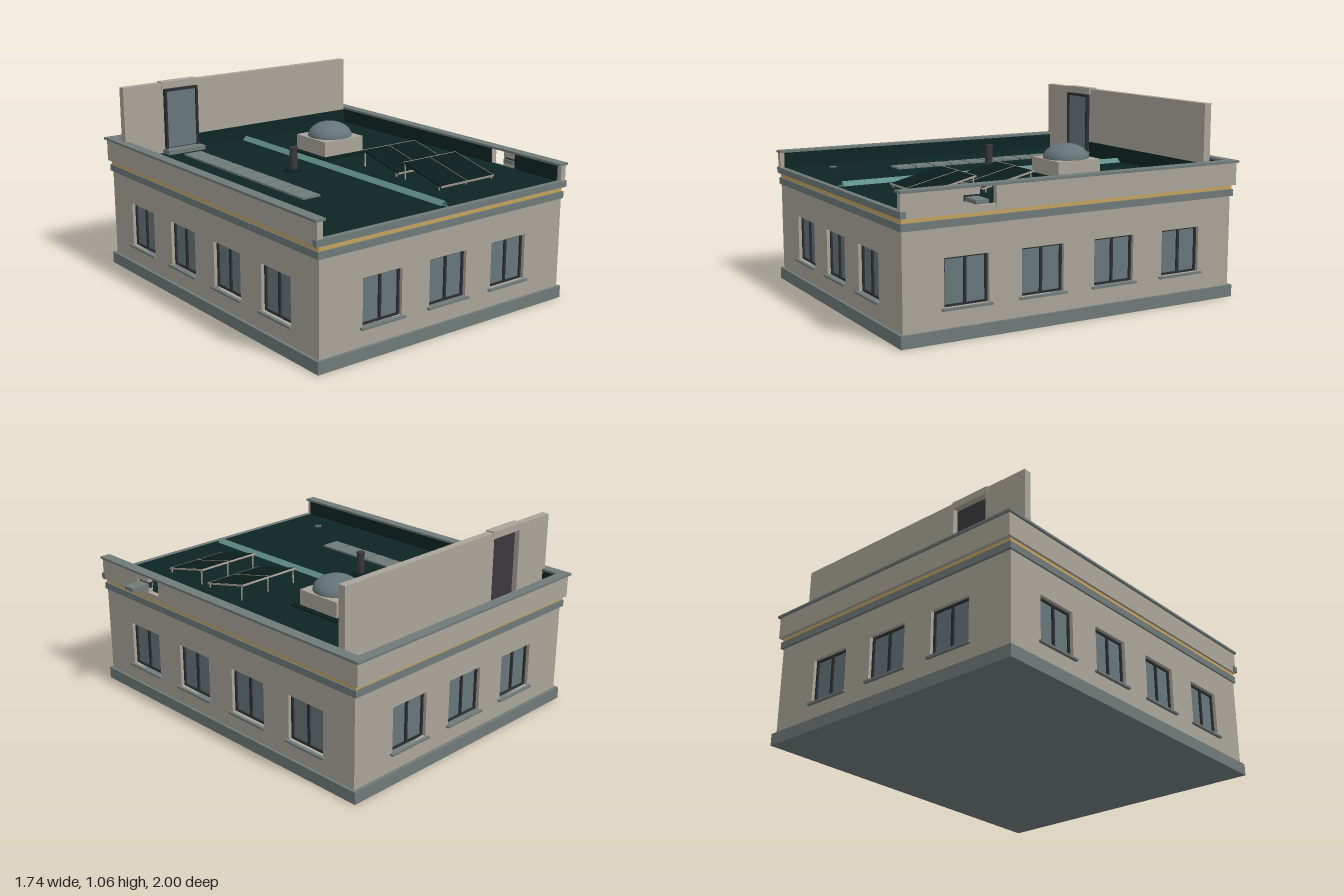
import * as THREE from 'three';

const mat = (name, color, side = THREE.FrontSide) => {
  const m = new THREE.MeshStandardMaterial({ color, side });
  m.name = name;
  return m;
};

export function createModel() {
  const root = new THREE.Group();
  root.name = 'flatRoofBuilding';

  const wall = mat('warm grey render', 0xaaa599);
  const stone = mat('blue grey stone', 0x6f7a79);
  const glass = mat('window glass', 0x66757a);
  const frame = mat('dark frame', 0x2b2e32);
  const roof = mat('dark green roofing', 0x0d2524);
  const panel = mat('panel black green', 0x0a1d1c, THREE.DoubleSide);
  const ridge = mat('pale teal metal', 0x629088, THREE.DoubleSide);
  const brass = mat('ochre band', 0xc2a25f);
  const pipe = mat('vent grey', 0x3a383d);
  const trim = mat('pale trim', 0xa89c92);

  const add = (name, geo, material, parent = root) => {
    const m = new THREE.Mesh(geo, material);
    m.name = name;
    parent.add(m);
    return m;
  };
  // Box given by its extents on each axis
  const box = (name, material, x0, x1, y0, y1, z0, z1, parent) => {
    const m = add(name, new THREE.BoxGeometry(x1 - x0, y1 - y0, z1 - z0), material, parent);
    m.position.set((x0 + x1) / 2, (y0 + y1) / 2, (z0 + z1) / 2);
    return m;
  };
  const rect = (C, x0, x1, y0, y1) => {
    const s = new C();
    s.moveTo(x0, y0).lineTo(x1, y0).lineTo(x1, y1).lineTo(x0, y1).closePath();
    return s;
  };

  const CX = -0.043;

  // Plinth and the horizontal bands round the building
  box('plinth', stone, -0.86, 0.77, 0, 0.065, -0.98, 1.0);
  box('cornice', stone, -0.852, 0.765, 0.555, 0.592, -0.975, 0.993);
  box('ochreBand', brass, -0.845, 0.757, 0.592, 0.614, -0.968, 0.986);
  box('roofSlab', wall, -0.857, 0.769, 0.614, 0.645, -0.985, 0.985);
  box('roofSurface', roof, -0.83, 0.74, 0.645, 0.65, -0.965, 0.972);
  box('frontEaveTrim', stone, -0.866, 0.778, 0.618, 0.651, 0.97, 1.0);

  // One storey wall with recessed two-pane windows; local +z faces outwards
  const W0 = 0.165, W1 = 0.408, HALF = 0.121, T = 0.045;
  function facade(name, length, centres, x, z, angle) {
    const g = new THREE.Group();
    g.name = name;
    const shape = rect(THREE.Shape, -length / 2, length / 2, 0.065, 0.555);
    centres.forEach(c => shape.holes.push(rect(THREE.Path, c - HALF, c + HALF, W0, W1)));
    const geo = new THREE.ExtrudeGeometry(shape, { depth: T, bevelEnabled: false });
    add('wall', geo, wall, g).position.z = -T;
    for (const c of centres) {
      const win = new THREE.Group();
      win.name = 'window';
      win.position.x = c;
      g.add(win);
      box('glazing', glass, -HALF, HALF, W0, W1, -0.034, -0.028, win);
      for (const s of [-1, 0, 1]) {
        const w = s ? 0.006 : 0.007, cx = s * (HALF - 0.006);
        box('upright', frame, cx - w, cx + w, W0, W1, -0.036, -0.018, win);
      }
      box('topRail', frame, -HALF, HALF, W1 - 0.01, W1, -0.036, -0.018, win);
      box('bottomRail', frame, -HALF, HALF, W0, W0 + 0.01, -0.036, -0.018, win);
      box('sill', stone, -HALF - 0.015, HALF + 0.015, W0 - 0.011, W0, -0.02, 0.018, win);
    }
    g.position.set(x, 0, z);
    g.rotation.y = angle;
    root.add(g);
  }
  const ends = [-0.465, -0.045, 0.372].map(v => v - CX);
  const sides = [0.645, 0.22, -0.205, -0.63].map(v => v - 0.0125);
  facade('frontWall', 1.597, ends, CX, 0.985, 0);
  facade('backWall', 1.597, ends.map(v => -v), CX, -0.96, Math.PI);
  facade('leftWall', 1.945, sides.map(v => -v), 0.756, 0.0125, Math.PI / 2);
  facade('rightWall', 1.945, sides, -0.842, 0.0125, -Math.PI / 2);

  // Parapets on three sides, dark lining inside, stone cap on top
  const P0 = 0.614, P1 = 0.735, CAP = 0.747;
  box('rightParapet', wall, -0.858, -0.825, P0, P1, -0.988, 0.995);
  box('rightParapetLining', roof, -0.825, -0.816, 0.65, P1, -0.95, 0.97);
  box('backParapet', wall, -0.858, 0.77, P0, P1, -0.988, -0.958);
  box('backParapetLining', roof, -0.825, 0.735, 0.65, P1, -0.958, -0.95);
  for (const [z0, z1] of [[-0.988, 0.49], [0.67, 0.995]]) {
    box('leftParapet', wall, 0.737, 0.77, P0, P1, z0, z1);
    box('leftParapetLining', roof, 0.728, 0.737, 0.65, P1, Math.max(z0, -0.95), Math.min(z1, 0.97));
  }
  box('rightCap', stone, -0.87, -0.812, P1, CAP, -1, 1);
  box('leftCap', stone, 0.72, 0.78, P1, CAP, -1, 1);
  box('backCap', stone, -0.812, 0.72, P1, CAP, -1, -0.945);

  // Overflow outlet in the gap of the left parapet
  box('outletBlockLower', wall, 0.737, 0.768, 0.645, 0.668, 0.58, 0.67);
  box('outletBlockUpper', wall, 0.737, 0.768, 0.7, P1, 0.58, 0.67);
  box('outletThroat', frame, 0.742, 0.76, 0.668, 0.7, 0.58, 0.67);
  box('spout', stone, 0.73, 0.866, 0.67, 0.69, 0.585, 0.655);

  // Tall screen wall with a doorway
  const D0 = -0.585, D1 = -0.37;
  const screen = rect(THREE.Shape, -0.836, 0.713, 0.65, 1.055);
  screen.holes.push(rect(THREE.Path, D0, D1, 0.665, 1.022));
  add('screenWall', new THREE.ExtrudeGeometry(screen, { depth: 0.042, bevelEnabled: false }), wall)
    .position.z = -0.85;
  box('screenFlashing', roof, D1 + 0.01, 0.713, 0.65, 0.735, -0.808, -0.803);
  box('doorLintel', wall, -0.597, -0.362, 1.022, 1.061, -0.852, -0.8);
  box('doorStep', stone, -0.597, -0.358, 0.65, 0.674, -0.81, -0.742);
  const door = new THREE.Group();
  door.name = 'roofDoor';
  root.add(door);
  box('doorBack', pipe, D0, D1, 0.665, 1.02, -0.82, -0.806, door);
  box('doorPanel', glass, D0 + 0.012, D1 - 0.012, 0.68, 1.008, -0.806, -0.798, door);
  box('doorJamb', frame, D0, D0 + 0.013, 0.674, 1.02, -0.81, -0.787, door);
  box('doorJamb', frame, D1 - 0.013, D1, 0.674, 1.02, -0.81, -0.787, door);
  box('doorHead', frame, D0, D1, 1.006, 1.02, -0.81, -0.787, door);

  // Ridge capping: a folded strip running front to back
  const fold = new THREE.Shape([[-0.023, 0], [0, 0.024], [0.023, 0], [0.017, 0], [0, 0.017], [-0.017, 0]]
    .map(p => new THREE.Vector2(...p)));
  add('ridgeCapping', new THREE.ExtrudeGeometry(fold, { depth: 1.73, bevelEnabled: false }), ridge)
    .position.set(CX, 0.652, -0.79);
  box('ridgeSeam', ridge, CX - 0.004, CX + 0.004, 0.648, 0.654, -0.945, 0.97);

  // Walkway of paving slabs
  for (let i = 0; i < 10; i++) {
    const z = -0.688 + i * 0.1145;
    box('paver', stone, -0.532, -0.422, 0.65, 0.66, z, z + 0.103);
  }

  // Domed skylight
  box('skylightFlashing', panel, 0.02, 0.362, 0.65, 0.657, -0.445, -0.103);
  box('skylightCurb', wall, 0.057, 0.327, 0.655, 0.742, -0.41, -0.142);
  const dome = add('skylightDome',
    new THREE.SphereGeometry(0.126, 28, 12, 0, Math.PI * 2, 0, Math.PI / 2), glass);
  dome.scale.y = 0.64;
  dome.position.set(0.192, 0.742, -0.275);

  // Vent pipe with collar
  const cyl = (name, r0, r1, h, material, x, y, z) =>
    add(name, new THREE.CylinderGeometry(r0, r1, h, 20), material).position.set(x, y + h / 2, z);
  cyl('ventCollar', 0.035, 0.055, 0.012, panel, -0.24, 0.65, -0.035);
  cyl('ventPipe', 0.021, 0.021, 0.12, pipe, -0.24, 0.66, -0.035);
  cyl('ventTop', 0.024, 0.024, 0.012, pipe, -0.24, 0.77, -0.035);

  // Roof drain grille
  cyl('drain', 0.014, 0.016, 0.006, pipe, -0.662, 0.65, 0.74);
  for (let i = 0; i < 4; i++) {
    const bar = add('drainBar', new THREE.BoxGeometry(0.044, 0.005, 0.004), stone);
    bar.position.set(-0.662, 0.658, 0.74);
    bar.rotation.y = i * Math.PI / 4;
  }

  // Two rows of tilted roof panels, low edge to the front
  for (const z of [0.263, 0.597]) {
    for (const x of [0.212, 0.402]) {
      const p = new THREE.Group();
      p.name = 'roofPanel';
      p.position.set(x, 0.703, z);
      p.rotation.x = 0.225;
      root.add(p);
      box('panelFace', panel, -0.092, 0.092, -0.004, 0.004, -0.15, 0.15, p);
      box('panelBackEdge', trim, -0.092, 0.092, -0.005, 0.005, -0.153, -0.149, p);
      box('panelFrontEdge', trim, -0.092, 0.092, -0.005, 0.005, 0.149, 0.153, p);
      box('panelSideEdge', trim, 0.091, 0.094, -0.005, 0.005, -0.153, 0.153, p);
    }
    for (const x of [0.122, 0.307, 0.492]) {
      box('panelBackLeg', trim, x - 0.003, x + 0.003, 0.65, 0.735, z - 0.135, z - 0.129);
      box('panelFrontLeg', trim, x - 0.003, x + 0.003, 0.65, 0.672, z + 0.129, z + 0.135);
    }
  }

  return root;
}
